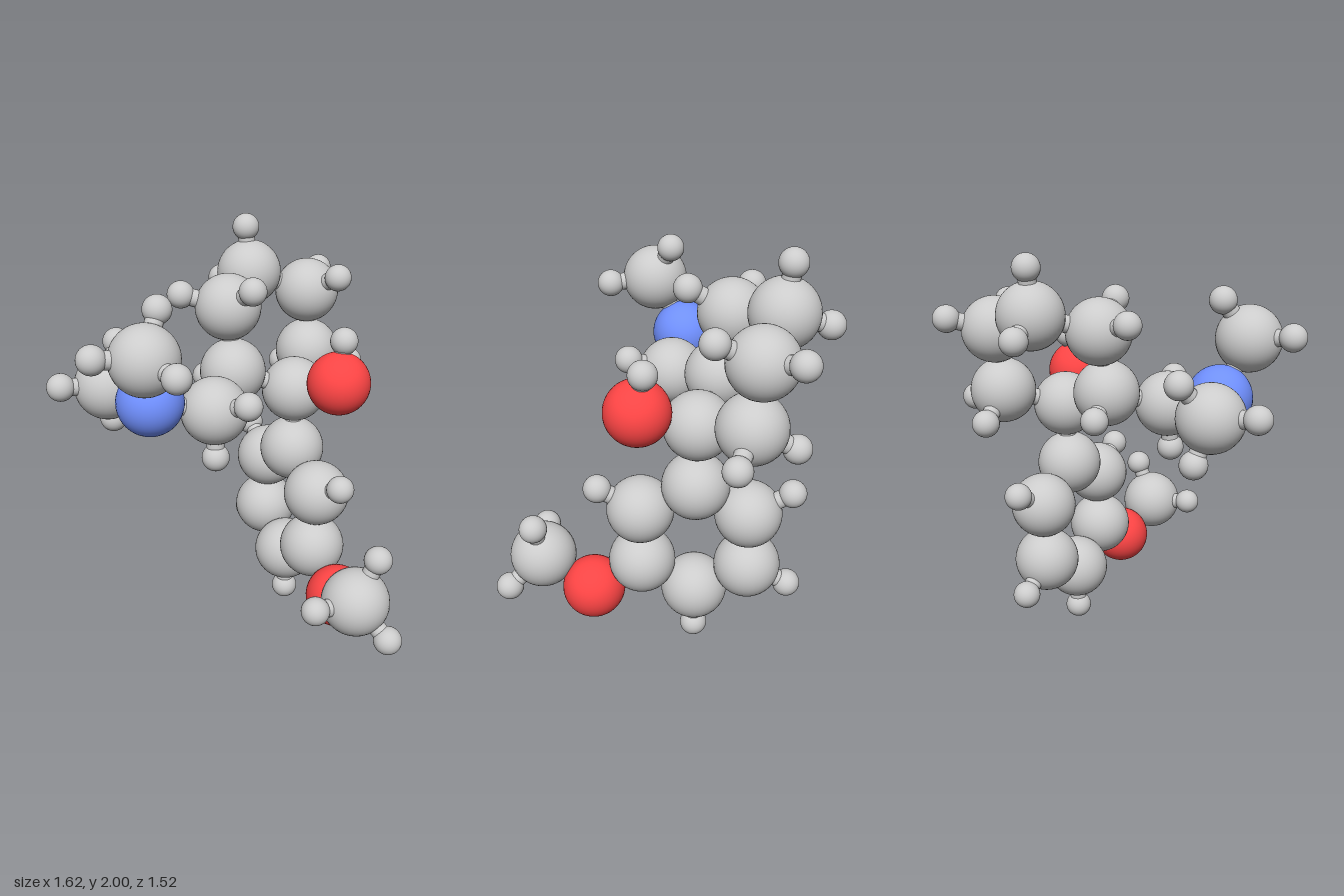
import * as THREE from 'three';

// Radius and colour of each kind of ball
const KINDS = {
  C: { name: 'carbon', radius: 0.16, color: 0xcccccc },
  N: { name: 'nitrogen', radius: 0.157, color: 0x7090ff },
  O: { name: 'oxygen', radius: 0.152, color: 0xff4545 },
  H: { name: 'hydrogen', radius: 0.066, color: 0xcccccc },
};
const BOND_RADIUS = 0.042;

// Heavy atoms: kind, centre, and the centres of the hydrogens attached to each
const ATOMS = {
  // Dimethylamino arm
  amineNitrogen: ['N', [-0.33, 1.32, 0.265], []],
  upperMethyl: ['C', [-0.34, 1.585, 0.43], [[-0.285, 1.77, 0.31], [-0.558, 1.615, 0.5], [-0.202, 1.57, 0.61]]],
  sideMethyl: ['C', [-0.537, 1.31, 0.035], [[-0.748, 1.338, 0.12], [-0.525, 1.105, -0.05], [-0.5, 1.475, -0.12]]],
  armCarbon: ['C', [-0.037, 1.24, 0.185], [[0.11, 1.325, 0.342], [-0.033, 1.01, 0.21]]],
  // Upper ring, chair shaped
  upperRing1: ['C', [0.367, 1.205, -0.15], []],
  upperRing2: ['C', [0.06, 1.32, -0.11], [[-0.07, 1.235, -0.27]]],
  upperRing3: ['C', [0.038, 1.627, -0.165], [[-0.188, 1.69, -0.165], [0.145, 1.75, 0.005]]],
  upperRing4: ['C', [0.155, 1.715, -0.46], [[0.138, 1.936, -0.485], [0.02, 1.64, -0.628]]],
  upperRing5: ['C', [0.453, 1.61, -0.488], [[0.587, 1.715, -0.333], [0.535, 1.67, -0.697]]],
  upperRing6: ['C', [0.46, 1.303, -0.45], [[0.69, 1.225, -0.485], [0.345, 1.185, -0.615]]],
  hydroxylOxygen: ['O', [0.556, 1.312, 0.05], [[0.578, 1.507, 0.005]]],
  // Lower ring, flat
  lowerRing1: ['C', [0.365, 0.888, -0.137], []],
  lowerRing2: ['C', [0.467, 0.752, 0.102], [[0.554, 0.863, 0.28]]],
  lowerRing3: ['C', [0.455, 0.457, 0.109], []],
  lowerRing4: ['C', [0.347, 0.298, -0.115], [[0.347, 0.068, -0.11]]],
  lowerRing5: ['C', [0.255, 0.442, -0.354], [[0.168, 0.325, -0.528]]],
  lowerRing6: ['C', [0.262, 0.735, -0.36], [[0.18, 0.847, -0.547]]],
  // Methoxy tail
  tailOxygen: ['O', [0.56, 0.295, 0.325], []],
  tailMethyl: ['C', [0.603, 0.437, 0.58], [[0.7, 0.645, 0.557], [0.403, 0.463, 0.687], [0.742, 0.298, 0.695]]],
};

// Chains of bonded heavy atoms
const CHAINS = [
  ['upperMethyl', 'amineNitrogen', 'sideMethyl'],
  ['amineNitrogen', 'armCarbon', 'upperRing2'],
  ['upperRing1', 'upperRing2', 'upperRing3', 'upperRing4', 'upperRing5', 'upperRing6', 'upperRing1'],
  ['hydroxylOxygen', 'upperRing1', 'lowerRing1'],
  ['lowerRing1', 'lowerRing2', 'lowerRing3', 'lowerRing4', 'lowerRing5', 'lowerRing6', 'lowerRing1'],
  ['lowerRing3', 'tailOxygen', 'tailMethyl'],
];

export function createModel() {
  const model = new THREE.Group();
  model.name = 'molecule';

  const balls = {};
  for (const [key, { radius, color }] of Object.entries(KINDS)) {
    balls[key] = {
      geometry: new THREE.SphereGeometry(radius, 40, 28),
      material: new THREE.MeshStandardMaterial({ color }),
    };
  }
  const bondGeometry = new THREE.CylinderGeometry(BOND_RADIUS, BOND_RADIUS, 1, 20, 1, true);
  const bondMaterial = new THREE.MeshStandardMaterial({ color: 0xcccccc });

  function addBall(parent, kind, centre, name) {
    const ball = new THREE.Mesh(balls[kind].geometry, balls[kind].material);
    ball.position.set(...centre);
    ball.name = name;
    parent.add(ball);
  }

  // Rod from one ball centre to another
  function addBond(parent, from, to) {
    const a = new THREE.Vector3(...from);
    const b = new THREE.Vector3(...to);
    const rod = new THREE.Mesh(bondGeometry, bondMaterial);
    rod.position.copy(a).add(b).multiplyScalar(0.5);
    rod.scale.y = a.distanceTo(b);
    rod.quaternion.setFromUnitVectors(new THREE.Vector3(0, 1, 0), b.sub(a).normalize());
    rod.name = 'bond';
    parent.add(rod);
  }

  // Each heavy atom with its hydrogens
  for (const [name, [kind, centre, hydrogens]] of Object.entries(ATOMS)) {
    const cluster = new THREE.Group();
    cluster.name = name;
    addBall(cluster, kind, centre, KINDS[kind].name);
    for (const h of hydrogens) {
      addBall(cluster, 'H', h, KINDS.H.name);
      addBond(cluster, centre, h);
    }
    model.add(cluster);
  }

  // Bonds of the skeleton
  const skeleton = new THREE.Group();
  skeleton.name = 'skeletonBonds';
  for (const chain of CHAINS) {
    for (let i = 1; i < chain.length; i++) {
      addBond(skeleton, ATOMS[chain[i - 1]][1], ATOMS[chain[i]][1]);
    }
  }
  model.add(skeleton);

  return model;
}
